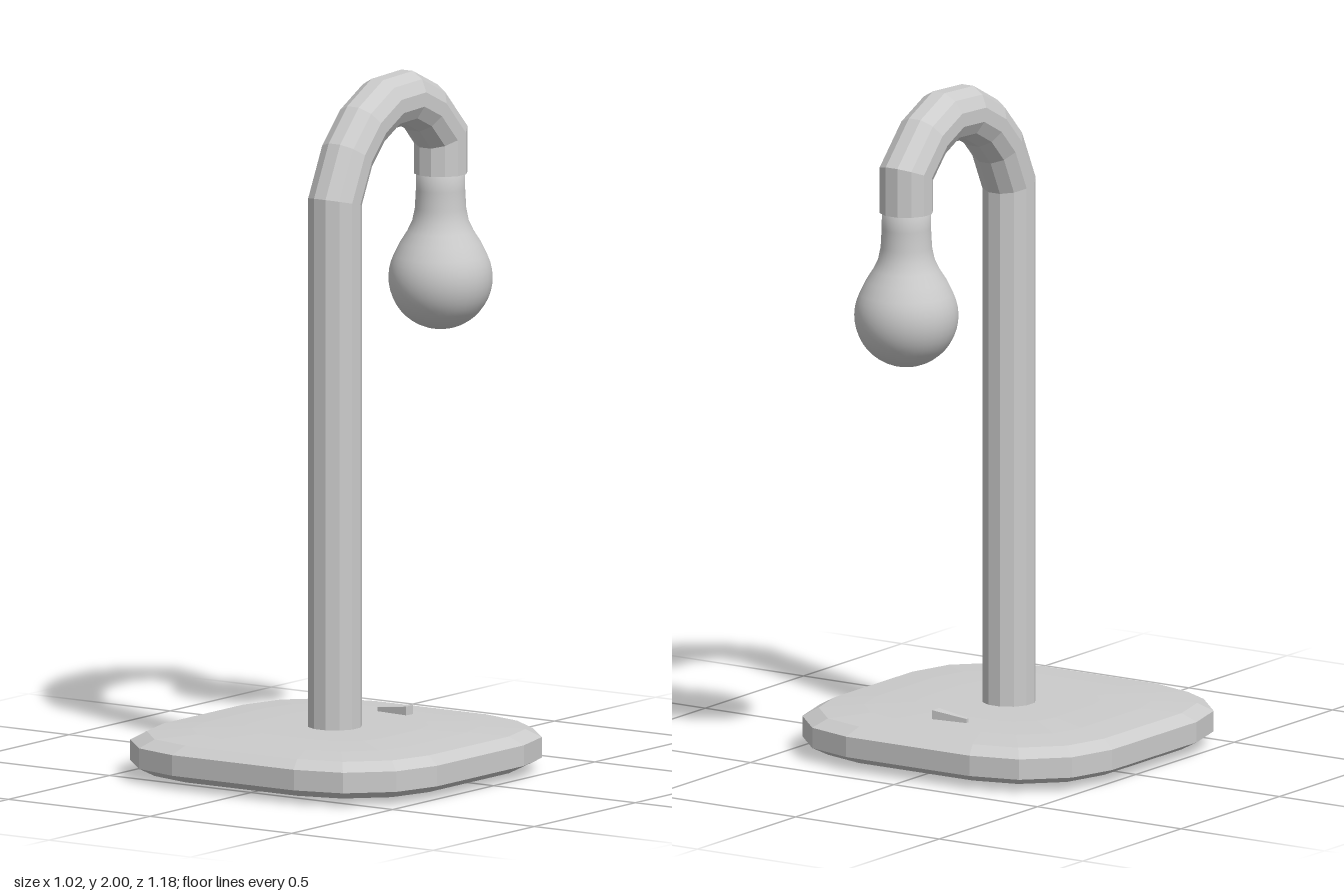
import * as THREE from 'three';

const flat = new THREE.MeshStandardMaterial({ color: 0xcccccc, flatShading: true });
const smooth = new THREE.MeshStandardMaterial({ color: 0xcccccc });

// Skin a stack of equal-length point loops (counter-clockwise seen from the far end), capped at both ends
function skin(rings) {
  const n = rings[0].length, pos = [], idx = [];
  rings.forEach((ring) => ring.forEach((p) => pos.push(p.x, p.y, p.z)));
  for (let r = 0; r < rings.length - 1; r++) {
    for (let i = 0; i < n; i++) {
      const a = r * n + i, b = r * n + (i + 1) % n;
      idx.push(a, b, b + n, a, b + n, a + n);
    }
  }
  const last = (rings.length - 1) * n;
  for (let i = 1; i < n - 1; i++) {
    idx.push(0, i + 1, i, last, last + i, last + i + 1);
  }
  const g = new THREE.BufferGeometry();
  g.setAttribute('position', new THREE.Float32BufferAttribute(pos, 3));
  g.setIndex(idx);
  g.computeVertexNormals();
  return g;
}

// Sweep a circle along a path in the y-z plane, with mitred joints
function sweep(path, radius, sides) {
  const pts = path.map(([z, y]) => new THREE.Vector3(0, y, z));
  const side = new THREE.Vector3(1, 0, 0);
  return skin(pts.map((p, k) => {
    const before = p.clone().sub(pts[Math.max(k - 1, 0)]).normalize();
    const after = pts[Math.min(k + 1, pts.length - 1)].clone().sub(p).normalize();
    const tangent = before.clone().add(after).normalize();
    const mitre = 1 / Math.max(tangent.dot(k ? before : after), 0.5);
    const normal = new THREE.Vector3().crossVectors(tangent, side);
    return Array.from({ length: sides }, (_, i) => {
      const a = ((i + 0.5) / sides) * Math.PI * 2;
      return p.clone()
        .addScaledVector(side, Math.cos(a) * radius)
        .addScaledVector(normal, Math.sin(a) * radius * mitre);
    });
  }));
}

export function createModel() {
  const lamp = new THREE.Group();
  lamp.name = 'lamp';
  const add = (name, geometry, material, x = 0, y = 0, z = 0) => {
    const mesh = new THREE.Mesh(geometry, material);
    mesh.name = name;
    mesh.position.set(x, y, z);
    lamp.add(mesh);
    return mesh;
  };

  // Base: rounded-square slab with softly domed top and underside
  const corner = [[0.51, 0.215], [0.47, 0.36], [0.36, 0.47], [0.215, 0.51]];
  const outline = [];
  for (let q = 0; q < 4; q++) {
    const c = Math.round(Math.cos(q * Math.PI / 2)), s = Math.round(Math.sin(q * Math.PI / 2));
    corner.forEach(([u, v]) => outline.push([u * c - v * s, u * s + v * c]));
  }
  const layers = [[0.45, 0], [0.7, 0.005], [0.92, 0.017], [1, 0.04], [1, 0.1], [0.92, 0.124], [0.7, 0.132], [0.45, 0.136]];
  const rings = layers.map(([k, y]) => outline.map(([x, z]) => new THREE.Vector3(x * k, y, -z * k)));
  add('base', skin(rings), flat, 0, 0, 0.08);

  // Post and curved neck in one tube, ending in the lamp socket
  const path = [
    [0.085, 0.1], [0.085, 1.665], [0.025, 1.79], [-0.05, 1.868], [-0.145, 1.918],
    [-0.257, 1.923], [-0.35, 1.88], [-0.437, 1.79], [-0.437, 1.677],
  ];
  add('postAndNeck', sweep(path, 0.078, 12), flat);

  // Bulb: round globe flaring from a narrow neck
  const profile = [];
  for (let i = 0; i <= 14; i++) {
    const a = -Math.PI / 2 + (i / 14) * (Math.PI / 2 + 0.45);
    profile.push(new THREE.Vector2(Math.max(0.15 * Math.cos(a), 0), 1.373 + 0.15 * Math.sin(a)));
  }
  [[0.117, 1.475], [0.096, 1.508], [0.081, 1.54], [0.074, 1.575], [0.071, 1.63], [0.07, 1.72], [0, 1.72]]
    .forEach(([r, y]) => profile.push(new THREE.Vector2(r, y)));
  add('bulb', new THREE.LatheGeometry(profile, 32), smooth, 0, 0, -0.437);

  // Switch: small wedge tapering towards one end
  const wedge = new THREE.BoxGeometry(0.11, 0.032, 0.036);
  const p = wedge.attributes.position;
  for (let i = 0; i < p.count; i++) {
    if (p.getX(i) < 0) {
      p.setZ(i, p.getZ(i) * 0.3);
      if (p.getY(i) > 0) p.setY(i, 0.002);
    }
  }
  wedge.computeVertexNormals();
  add('switch', wedge, flat, 0, 0.144, -0.207);

  return lamp;
}
